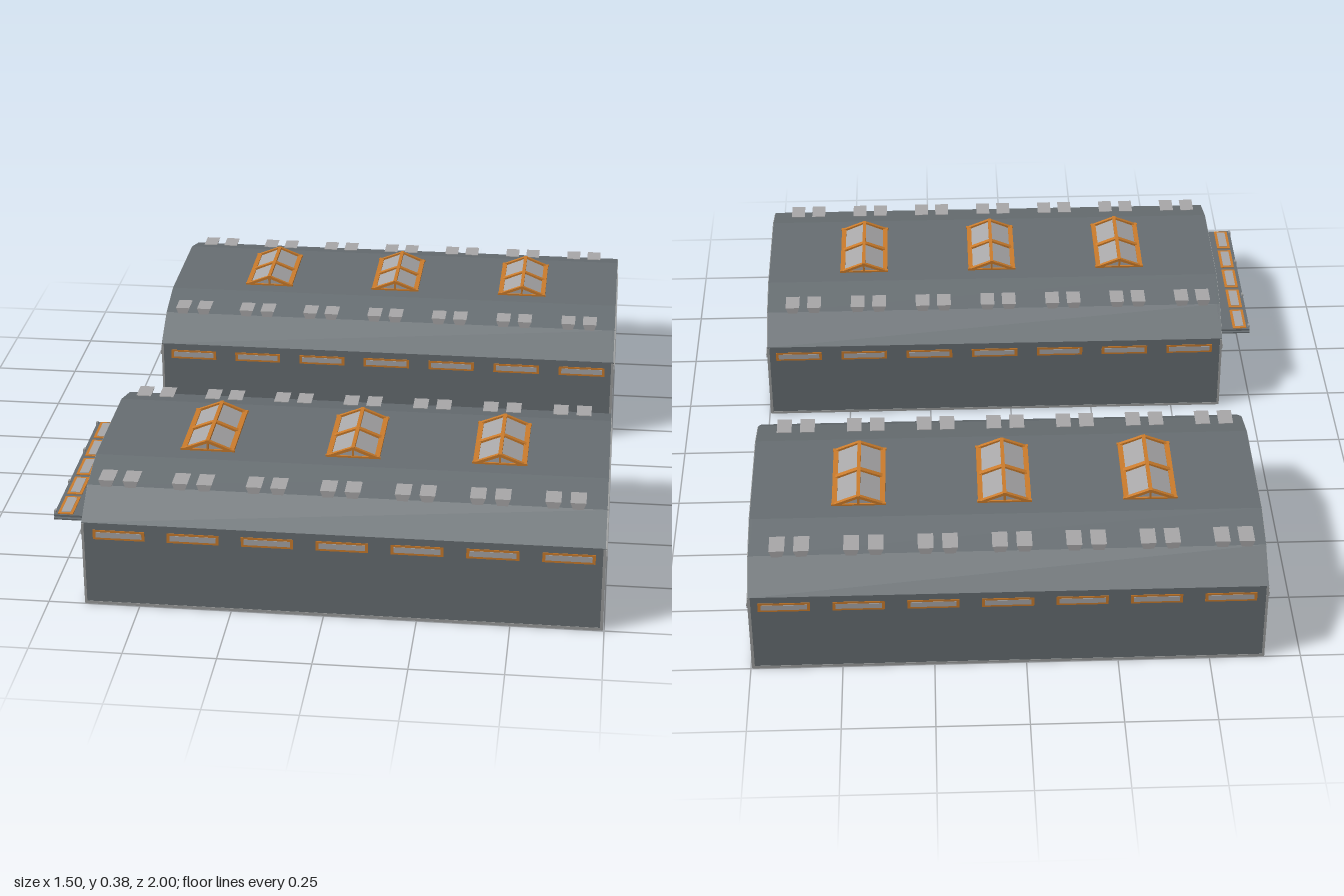
import * as THREE from 'three';

const mat = (name, color) => {
  const m = new THREE.MeshStandardMaterial({ color });
  m.name = name;
  return m;
};

const X0 = -0.65, X1 = 0.745, XM = (X0 + X1) / 2, LEN = X1 - X0;
const WALL = 0.398;
// half cross-section of the hangar: [distance from centre line, height]
const HALF = [[WALL, 0], [WALL, 0.246], [0.3, 0.31], [0.18, 0.343]];
const PROFILE = [...HALF, ...HALF.map(([w, y]) => [-w, y]).reverse()];
const BAYS = [0, 1, 2, 3, 4, 5, 6];
const UP = new THREE.Vector3(0, 1, 0);

export function createModel() {
  const slate = mat('slate cladding', 0x676e72);
  const steel = mat('steel grey', 0x9c9e9e);
  const glass = mat('pale glass', 0xa8a7a8);
  const orange = mat('orange frame', 0xcb7c2c);
  const model = new THREE.Group();
  model.name = 'hangars';

  const add = (parent, name, geo, m, x = 0, y = 0, z = 0) => {
    const mesh = new THREE.Mesh(geo, m);
    mesh.name = name;
    mesh.position.set(x, y, z);
    parent.add(mesh);
    return mesh;
  };
  const box = (parent, name, m, w, h, d, x, y, z) =>
    add(parent, name, new THREE.BoxGeometry(w, h, d), m, x, y, z);
  // straight bar between two points
  const beam = (parent, name, m, a, b, w = 0.012, h = w) => {
    const p = new THREE.Vector3(...a), q = new THREE.Vector3(...b);
    const mesh = box(parent, name, m, w, h, p.distanceTo(q), 0, 0, 0);
    mesh.quaternion.setFromRotationMatrix(new THREE.Matrix4().lookAt(q, p, UP));
    mesh.position.copy(p).add(q).multiplyScalar(0.5);
  };
  // extrude a (z, y) outline along x, starting at x
  const alongX = (pts, x, depth) => {
    const shape = new THREE.Shape(pts.map(([z, y]) => new THREE.Vector2(-z, y)));
    return new THREE.ExtrudeGeometry(shape, { depth, bevelEnabled: false })
      .rotateY(Math.PI / 2).translate(x, 0, 0);
  };
  const alongZ = (pts, depth) => {
    const shape = new THREE.Shape(pts.map(p => new THREE.Vector2(...p)));
    return new THREE.ExtrudeGeometry(shape, { depth, bevelEnabled: false })
      .translate(0, 0, -depth / 2);
  };

  // bars of one end frame or interior frame
  function truss(parent, x, isEnd, doorway) {
    const g = new THREE.Group();
    g.name = 'truss';
    parent.add(g);
    const bar = (z1, y1, z2, y2, w = 0.012, h = w) =>
      beam(g, 'trussBar', steel, [x, y1, z1], [x, y2, z2], w, h);
    for (let i = 0; i < PROFILE.length - 1; i++) {
      const [z1, y1] = PROFILE[i], [z2, y2] = PROFILE[i + 1];
      bar(z1 * 0.982, y1 && y1 - 0.007, z2 * 0.982, y2 && y2 - 0.007);
    }
    bar(-0.393, 0.214, 0.393, 0.214, isEnd ? 0.018 : 0.012, 0.013);
    for (const s of [-1, 1]) {
      bar(0, 0.215, s * 0.165, 0.332, 0.012, 0.015);
      bar(s * 0.165, 0.215, s * 0.165, 0.338);
      bar(s * 0.3, 0.215, s * 0.3, 0.302);
      if (isEnd) {
        const posts = doorway ? [0.302, 0.365] : [0.035, 0.165, 0.23, 0.365];
        for (const z of posts) bar(s * z, 0, s * z, 0.215);
        for (const y of [0.006, 0.025, 0.11])
          bar(s * (doorway ? 0.302 : 0), y, s * 0.393, y, 0.011);
      }
    }
  }

  // gabled roof light with a 2 x 2 pane layout
  function skylight(parent, x) {
    const g = new THREE.Group();
    g.name = 'skylight';
    g.position.set(x, 0.342, 0);
    parent.add(g);
    add(g, 'skylightGlass', alongZ([[-0.066, 0], [0.066, 0], [0, 0.028]], 0.25), glass);
    beam(g, 'ridgeBar', orange, [0, 0.029, -0.13], [0, 0.029, 0.13], 0.01, 0.008);
    for (const s of [-1, 1]) {
      beam(g, 'eaveBar', orange, [s * 0.066, 0.003, -0.13], [s * 0.066, 0.003, 0.13], 0.014, 0.008);
      box(g, 'gablePost', orange, 0.006, 0.028, 0.006, 0, 0.014, s * 0.126);
      box(g, 'gableSill', orange, 0.15, 0.006, 0.008, 0, 0.003, s * 0.126);
      for (const z of [-0.125, 0, 0.125])
        beam(g, 'rafterBar', orange, [s * 0.07, 0.001, z], [0, 0.029, z], z ? 0.01 : 0.014, 0.008);
    }
  }

  // door leaf with five windows, hinged at its top edge (local origin)
  function doorLeaf(parent) {
    const g = new THREE.Group();
    g.name = 'doorLeaf';
    parent.add(g);
    box(g, 'leafPanel', slate, 0.006, 0.097, 0.59, 0, -0.0485, 0);
    for (let i = 0; i < 5; i++) {
      const z = (i - 2) * 0.119;
      box(g, 'doorWindowFrame', orange, 0.01, 0.042, 0.104, 0, -0.066, z);
      box(g, 'doorWindowPane', glass, 0.013, 0.026, 0.086, 0, -0.066, z);
    }
    for (const z of [-0.28, -0.1, 0.1, 0.28])
      box(g, 'doorHinge', steel, 0.016, 0.006, 0.012, -0.002, -0.095, z);
    return g;
  }

  function hangar(name, zc, open) {
    const g = new THREE.Group();
    g.name = name;
    g.position.z = zc;
    model.add(g);

    // wall and roof shell
    const inner = PROFILE.map(([z, y]) => [z - Math.sign(z) * 0.006, y && y - 0.006]).reverse();
    add(g, 'shell', alongX([...PROFILE, ...inner], X0, LEN), slate);
    add(g, 'gableWall', alongX(PROFILE, X1 - 0.008, 0.006), slate);
    const D = 0.295, T = 0.21;
    const portal = [...PROFILE, [-D, 0], [-D, T], [D, T], [D, 0]];
    add(g, 'doorWall', alongX(portal, X0 + 0.002, 0.006), slate);

    // floor slabs
    const slabs = open ? [[-0.48, 0.735, -0.392, 0.392]]
      : [[0.06, 0.34, -0.392, 0.392], [-0.64, 0.06, -0.392, -0.15]];
    for (const [a, b, c, d] of slabs)
      box(g, 'floor', slate, b - a, 0.004, d - c, (a + b) / 2, 0.002, (c + d) / 2);

    // frames and purlins
    truss(g, X1 - 0.004, true, false);
    truss(g, X0 + 0.005, true, true);
    for (const i of BAYS.slice(1)) truss(g, X0 + i * 0.2, false, false);
    for (const s of [-1, 1]) {
      for (const [w, y] of HALF.slice(1))
        box(g, 'purlin', steel, LEN - 0.02, 0.008, 0.008, XM, y - 0.013, s * (w - 0.012));
      // side wall trim
      box(g, 'baseTrim', steel, LEN, 0.008, 0.003, XM, 0.004, s * (WALL - 0.0005));
      for (const x of [X0 + 0.003, X1 - 0.003])
        box(g, 'cornerTrim', steel, 0.006, 0.244, 0.003, x, 0.122, s * (WALL - 0.0005));

      for (const i of BAYS) {
        // strip windows, visible from inside and outside
        const x = -0.55 + i * 0.2;
        box(g, 'windowFrame', orange, 0.14, 0.028, 0.009, x, 0.212, s * 0.395);
        box(g, 'windowPane', glass, 0.124, 0.016, 0.011, x, 0.212, s * 0.395);
        // paired roof vents with flat tops and tapering sides
        for (const dx of [-0.033, 0.033])
          add(g, 'roofVent', alongZ([[-0.014, 0], [0.014, 0], [0.021, 0.019], [-0.021, 0.019]], 0.065),
            glass, x - 0.015 + dx, 0.309, s * 0.273);
      }
    }
    for (const x of [-0.35, 0.05, 0.45]) skylight(g, x);

    // folding door: raised as a canopy, or closed
    const door = new THREE.Group();
    door.name = open ? 'raisedDoor' : 'closedDoor';
    door.position.set(X0 - 0.002, 0.208, 0);
    g.add(door);
    const upper = doorLeaf(door);
    if (open) {
      upper.rotation.z = -Math.PI / 2;
      box(door, 'lowerLeaf', slate, 0.095, 0.004, 0.59, -0.05, -0.01, 0);
    } else {
      box(door, 'lowerLeaf', slate, 0.006, 0.104, 0.59, 0, -0.154, 0);
      for (const z of [-0.24, -0.12, 0, 0.12, 0.24])
        box(door, 'doorRib', steel, 0.008, 0.1, 0.006, 0, -0.154, z);
    }
  }

  hangar('frontHangar', 0.6, true);
  hangar('backHangar', -0.6, false);
  return model;
}
